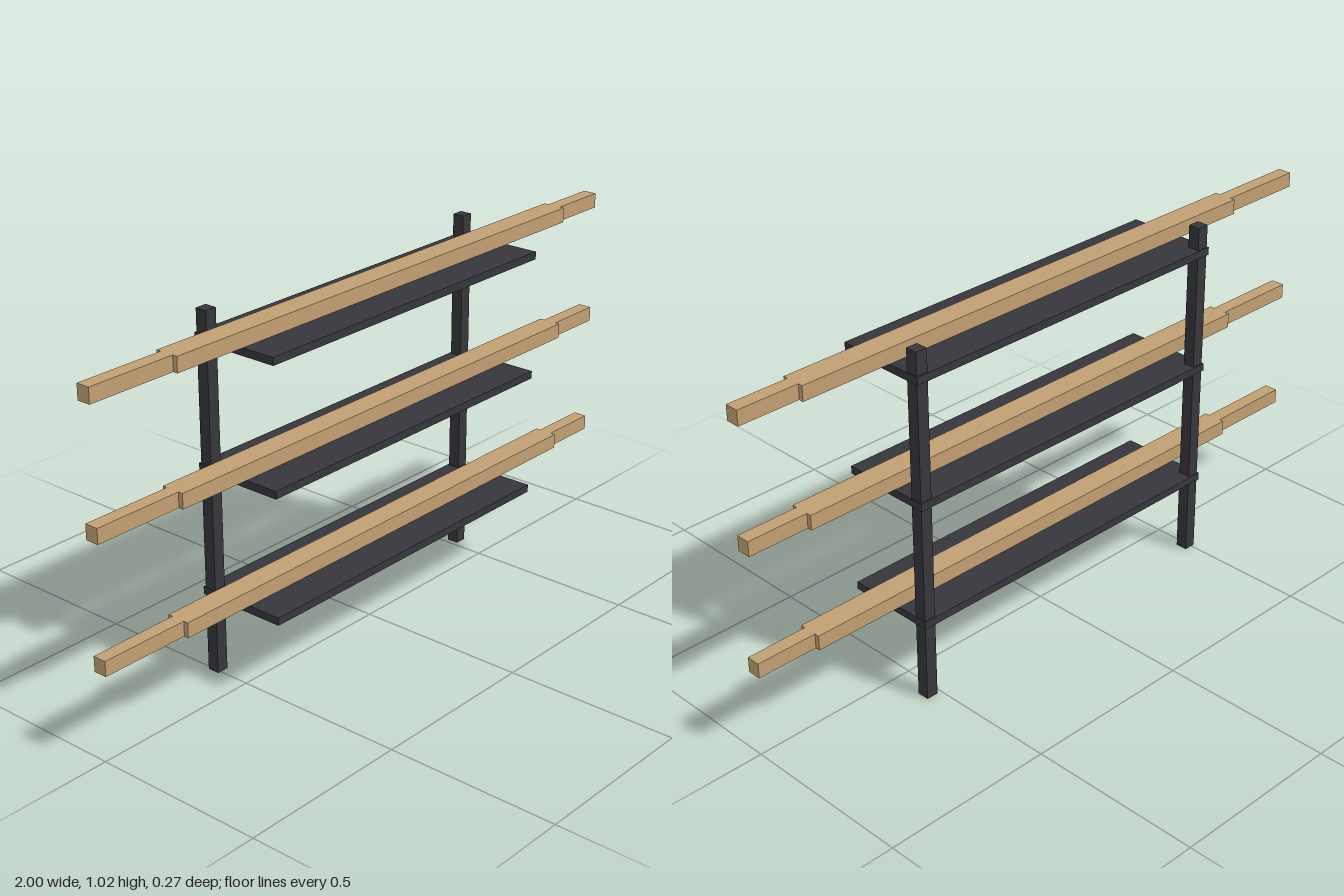
import * as THREE from 'three';

export function createModel() {
  const model = new THREE.Group();
  model.name = 'wallRack';

  const wood = new THREE.MeshStandardMaterial({ color: 0xc19f72 });
  wood.name = 'tan wood';
  const metal = new THREE.MeshStandardMaterial({ color: 0x36363c });
  metal.name = 'charcoal metal';

  // Box given by its extents along each axis
  function box(name, material, [x0, x1], [y0, y1], [z0, z1], parent = model) {
    const mesh = new THREE.Mesh(new THREE.BoxGeometry(x1 - x0, y1 - y0, z1 - z0), material);
    mesh.position.set((x0 + x1) / 2, (y0 + y1) / 2, (z0 + z1) / 2);
    mesh.name = name;
    parent.add(mesh);
  }

  // Two square rear posts
  box('rightPost', metal, [-0.51, -0.475], [0, 1.022], [-0.128, -0.093]);
  box('leftPost', metal, [0.513, 0.548], [0, 1.022], [-0.128, -0.093]);

  // Three shelves, each carrying a long beam with narrower ends
  ['lower', 'middle', 'upper'].forEach((level, i) => {
    const base = 0.225 + i * 0.355;
    const top = base + 0.022;
    box(level + 'Shelf', metal, [-0.513, 0.551], [base, top], [-0.133, 0.134]);

    const beam = new THREE.Group();
    beam.name = level + 'Beam';
    const height = [top, top + 0.043];
    box('beamBody', wood, [-0.735, 0.82], height, [-0.034, 0.034], beam);
    box('rightBeamEnd', wood, [-1, -0.735], height, [-0.02, 0.02], beam);
    box('leftBeamEnd', wood, [0.82, 1], height, [-0.02, 0.02], beam);
    model.add(beam);
  });

  return model;
}
